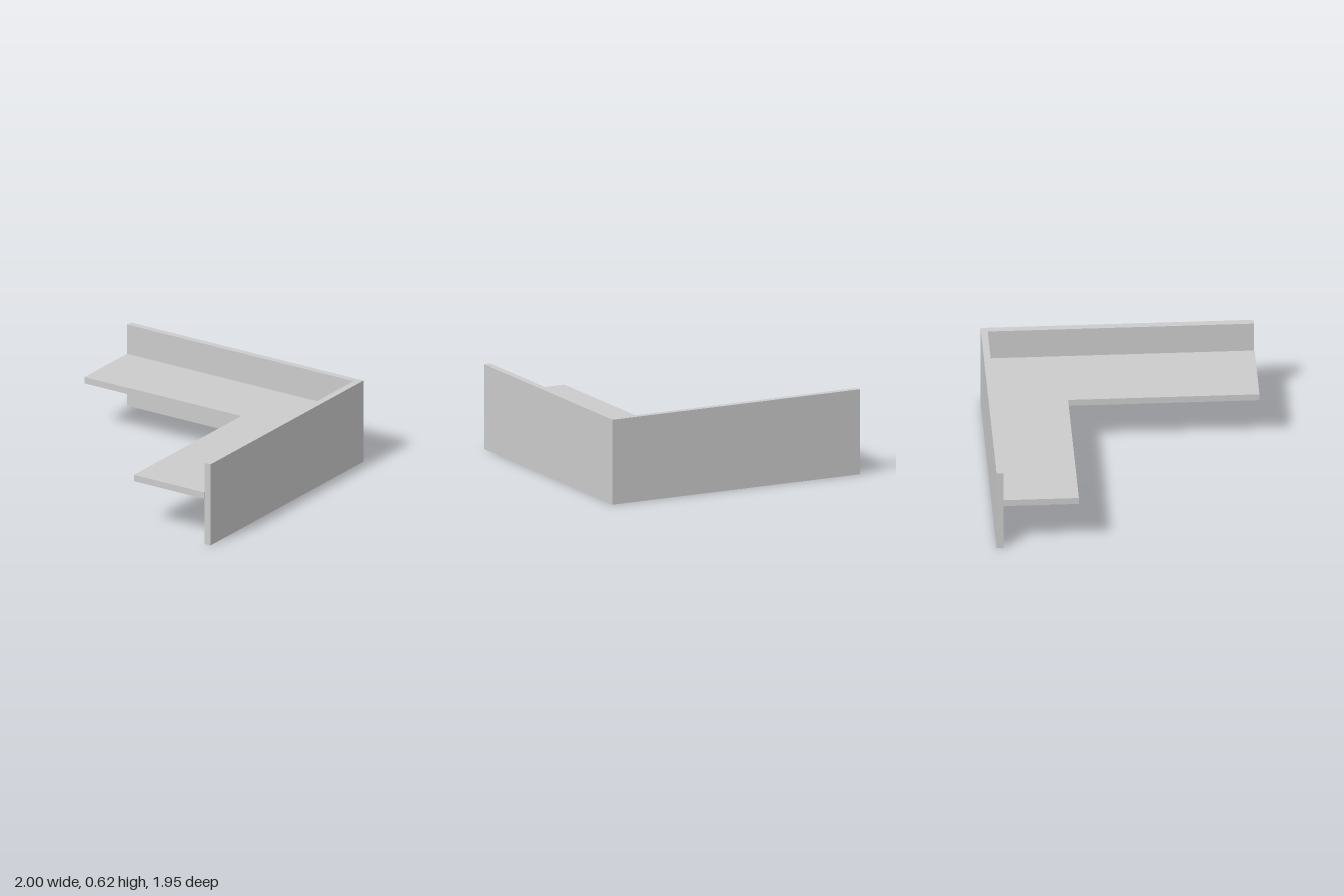
import * as THREE from 'three';

const material = new THREE.MeshStandardMaterial({ color: 0xcccccc, flatShading: true });

// Extrude a plan outline of [x, z] points upward from y0 to y1
function slab(name, outline, y0, y1) {
  const shape = new THREE.Shape(outline.map(([x, z]) => new THREE.Vector2(x, -z)));
  const geometry = new THREE.ExtrudeGeometry(shape, { depth: y1 - y0, bevelEnabled: false });
  geometry.rotateX(-Math.PI / 2).translate(0, y0, 0);
  const mesh = new THREE.Mesh(geometry, material);
  mesh.name = name;
  return mesh;
}

// L-shaped plan: one leg along the back, one along the left side
function lPlan(xStart, xOuter, xInner, zBack, zInner, zFront) {
  return [
    [xStart, zBack], [xStart, zInner], [xInner, zInner],
    [xInner, zFront], [xOuter, zFront], [xOuter, zBack],
  ];
}

export function createModel() {
  const group = new THREE.Group();
  group.name = 'cornerCounter';

  // Upright corner panel
  group.add(slab('cornerPanel', lPlan(-1, 1, 0.948, -0.977, -0.929, 0.972), 0, 0.622));

  // Horizontal worktop on the inside of the panel
  group.add(slab('worktop', lPlan(-1, 0.948, 0.346, -0.929, -0.389, 0.977), 0.349, 0.398));

  return group;
}
